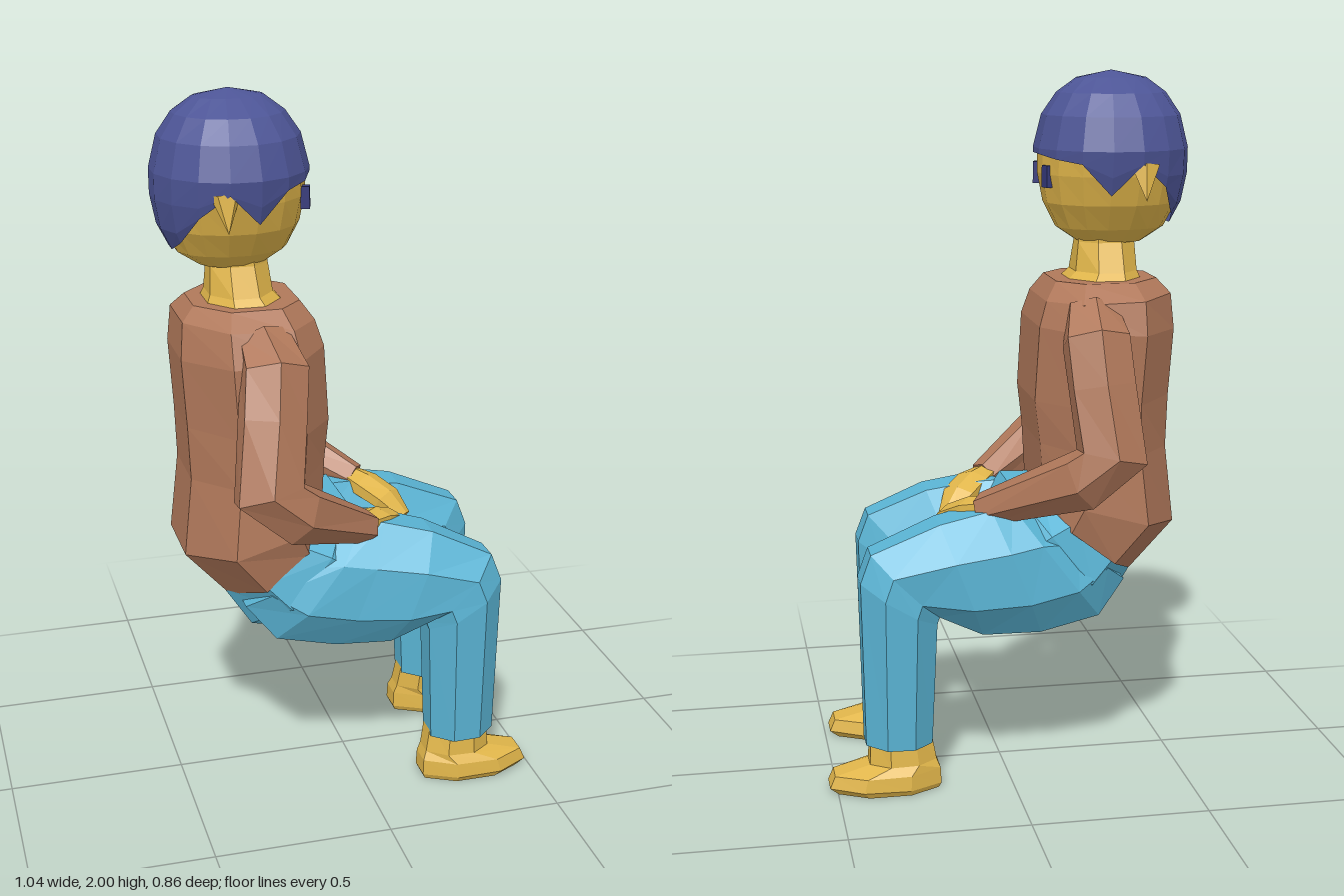
import * as THREE from 'three';

const mat = (color, side = THREE.FrontSide) => new THREE.MeshStandardMaterial({ color, flatShading: true, side });
const skin = mat(0xe0b54a), sweater = mat(0xb0785a), denim = mat(0x5ab4d4);
const hairMat = mat(0x4d5596, THREE.DoubleSide), eyeMat = mat(0x35397a);

function add(parent, name, geometry, material) {
  const mesh = new THREE.Mesh(geometry, material);
  mesh.name = name;
  parent.add(mesh);
  return mesh;
}

function build(pos, idx) {
  const g = new THREE.BufferGeometry();
  g.setAttribute('position', new THREE.Float32BufferAttribute(pos, 3));
  g.setIndex(idx);
  g.computeVertexNormals();
  return g;
}

// Capped skin over rings { c, u, v }; u x v points along the travel direction.
// A frontPower below 1 makes the +u half of the cross-section boxier.
function loft(rings, sides = 8, frontPower = 1) {
  const pos = [], idx = [];
  const k = 1 / Math.cos(Math.PI / sides);
  for (const { c, u, v } of rings) {
    for (let i = 0; i < sides; i++) {
      const a = ((i + 0.5) / sides) * Math.PI * 2;
      const power = Math.cos(a) > 0 ? frontPower : 1;
      const [su, sv] = [Math.cos(a) * k, Math.sin(a) * k].map((w) => Math.sign(w) * Math.abs(w) ** power);
      const p = c.clone().addScaledVector(u, su).addScaledVector(v, sv);
      pos.push(p.x, p.y, p.z);
    }
  }
  const last = rings.length - 1, start = rings.length * sides;
  pos.push(...rings[0].c.toArray(), ...rings[last].c.toArray());
  for (let i = 0; i < sides; i++) {
    const j = (i + 1) % sides;
    for (let r = 0; r < last; r++) {
      const a = r * sides + i, b = r * sides + j;
      idx.push(a, b, a + sides, b, b + sides, a + sides);
    }
    idx.push(start, j, i, start + 1, last * sides + i, last * sides + j);
  }
  return build(pos, idx);
}

// Ring from its front/top point, its back/bottom point and its z range
const span = ([x1, y1, x2, y2, z1, z2]) => ({
  c: new THREE.Vector3((x1 + x2) / 2, (y1 + y2) / 2, (z1 + z2) / 2),
  u: new THREE.Vector3((x1 - x2) / 2, (y1 - y2) / 2, 0),
  v: new THREE.Vector3(0, 0, (z2 - z1) / 2),
});

// Rings along a path of [x, y, z, depth radius, side radius]
function limb(path, ref = new THREE.Vector3(0, 0, 1)) {
  const pts = path.map((p) => new THREE.Vector3(p[0], p[1], p[2]));
  return pts.map((c, i) => {
    const t = pts[Math.min(i + 1, pts.length - 1)].clone().sub(pts[Math.max(i - 1, 0)]).normalize();
    const u = ref.clone().cross(t).normalize();
    const v = t.clone().cross(u);
    return { c, u: u.multiplyScalar(path[i][3]), v: v.multiplyScalar(path[i][4]) };
  });
}

// Half sizes of the head: [y, x radius, z radius]
const headProfile = [
  [1.53, 0.09, 0.07], [1.57, 0.15, 0.115], [1.64, 0.185, 0.163], [1.72, 0.2, 0.19],
  [1.79, 0.2, 0.202], [1.88, 0.178, 0.176], [1.94, 0.138, 0.128], [1.98, 0.085, 0.052], [2.0, 0, 0],
];
function headRadius(y) {
  let i = 0;
  while (i < headProfile.length - 2 && headProfile[i + 1][0] < y) i++;
  const [a, b] = [headProfile[i], headProfile[i + 1]];
  const t = (y - a[0]) / (b[0] - a[0]);
  return [1, 2].map((n) => THREE.MathUtils.lerp(a[n], b[n], t));
}

function buildHead() {
  const head = new THREE.Group();
  head.name = 'head';
  const cx = -0.31, cz = -0.02, seg = 16;

  const faceRings = [1.88, 1.79, 1.72, 1.64, 1.57, 1.53].map((y) => {
    const [rx, rz] = headRadius(y);
    return span([cx + rx, y, cx - rx, y, cz - rz, cz + rz]);
  });
  add(head, 'face', loft(faceRings, seg), skin);

  // Hair cap: hairline heights from the forehead, past sideburn and ear, to the nape
  const line = [1.775, 1.765, 1.755, 1.67, 1.755, 1.69, 1.61, 1.58];
  const levels = [1.5, 1.64, 1.72, 1.79, 1.88, 1.94, 1.98, 2];
  const k = 1 / Math.cos(Math.PI / seg);
  const pos = [], idx = [];
  levels.forEach((level, r) => {
    for (let i = 0; i < seg; i++) {
      const a = ((i + 0.5) / seg) * Math.PI * 2;
      const y = Math.max(level, line[Math.min(i, seg - 1 - i)]);
      const [rx, rz] = headRadius(y);
      const puff = y < 2 ? 0.011 : 0;
      pos.push(cx + Math.cos(a) * k * (rx + puff), y, cz + Math.sin(a) * k * (rz + puff * 1.4));
      if (r === levels.length - 1) continue;
      const p = r * seg + i, q = r * seg + (i + 1) % seg;
      idx.push(p, p + seg, q, q, p + seg, q + seg);
    }
  });
  add(head, 'hair', build(pos, idx), hairMat);

  for (const s of [-1, 1]) {
    const label = s < 0 ? 'left' : 'right';
    const eye = add(head, label + 'Eye', new THREE.BoxGeometry(0.025, 0.06, 0.03), eyeMat);
    eye.position.set(-0.123, 1.715, s * 0.073 - 0.003);
    eye.rotation.y = -s * 0.3;
    const ear = add(head, label + 'Ear', new THREE.ConeGeometry(0.042, 0.1, 5), skin);
    ear.scale.z = 0.5;
    ear.rotation.x = Math.PI - s * 0.3;
    ear.position.set(-0.36, 1.705, cz + s * 0.205);
  }
  return head;
}

function buildLeg(label, s, dx, dz) {
  const leg = new THREE.Group();
  leg.name = label + 'Leg';
  // Inner and outer z distances, mirrored by side; the knee and shin shift by dx, dz
  const ring = ([x1, y1, x2, y2, zi, zo], shift) => {
    const z = [s * zi, s * zo].sort((a, b) => a - b);
    return span([x1 + dx * shift, y1, x2 + dx * shift, y2, z[0] + dz * shift, z[1] + dz * shift]);
  };
  const trousers = [
    [[-0.12, 0.76, -0.33, 0.58, 0.02, 0.235], 0],
    [[0.0, 0.815, -0.25, 0.485, 0.02, 0.28], 0],
    [[0.06, 0.81, -0.08, 0.45, 0.03, 0.295], 0],
    [[0.2, 0.78, 0.08, 0.455, 0.06, 0.31], 0.4],
    [[0.38, 0.7, 0.19, 0.51, 0.1, 0.3], 1],
    [[0.41, 0.62, 0.197, 0.49, 0.1, 0.305], 1],
    [[0.4, 0.14, 0.212, 0.135, 0.108, 0.285], 1],
  ].map(([r, k]) => ring(r, k));
  add(leg, label + 'TrouserLeg', loft(trousers), denim);

  const shoe = [
    [0.385, 0.17, 0.215, 0.17, 0.125, 0.26],
    [0.39, 0.08, 0.2, 0.085, 0.13, 0.27],
    [0.49, 0.055, 0.19, 0.06, 0.125, 0.285],
    [0.505, 0.02, 0.188, 0.015, 0.12, 0.29],
    [0.48, 0.0, 0.195, 0.0, 0.13, 0.28],
  ].map((r) => ring(r, 1));
  add(leg, label + 'Foot', loft(shoe), skin);
  return leg;
}

function buildArm(label, sleeve, hand) {
  const arm = new THREE.Group();
  arm.name = label + 'Arm';
  add(arm, label + 'Sleeve', loft(limb(sleeve), 6), sweater);
  add(arm, label + 'Hand', loft(limb(hand, new THREE.Vector3(0, 1, 0)), 6), skin);
  return arm;
}

export function createModel() {
  const figure = new THREE.Group();
  figure.name = 'seatedFigure';
  figure.add(buildHead());

  // Neck flaring into the collar
  add(figure, 'neck', loft([
    [-0.22, 1.6, -0.375, 1.6, -0.09, 0.05],
    [-0.215, 1.53, -0.375, 1.53, -0.095, 0.055],
    [-0.205, 1.45, -0.38, 1.45, -0.13, 0.09],
    [-0.18, 1.425, -0.39, 1.425, -0.15, 0.11],
  ].map(span)), skin);

  // Sweater body: flat front, rounded back, hem tilted down towards the back
  add(figure, 'torso', loft([
    [-0.14, 1.43, -0.43, 1.43, -0.185, 0.14],
    [-0.105, 1.38, -0.465, 1.39, -0.25, 0.195],
    [-0.085, 1.31, -0.475, 1.29, -0.27, 0.23],
    [-0.075, 1.1, -0.465, 1.1, -0.255, 0.235],
    [-0.09, 0.98, -0.46, 0.95, -0.26, 0.245],
    [-0.1, 0.84, -0.485, 0.73, -0.275, 0.265],
    [-0.1, 0.79, -0.36, 0.59, -0.25, 0.24],
  ].map(span), 8, 0.7), sweater);

  // Seat and lap of the trousers
  add(figure, 'hips', loft([
    [-0.1, 0.84, -0.37, 0.6, -0.235, 0.235],
    [-0.02, 0.84, -0.3, 0.495, -0.26, 0.26],
    [0.02, 0.78, -0.15, 0.455, -0.24, 0.24],
    [0.01, 0.65, -0.02, 0.46, -0.16, 0.16],
  ].map(span)), denim);
  figure.add(buildLeg('left', -1, 0.018, 0.025), buildLeg('right', 1, -0.018, 0.03));

  figure.add(buildArm('left', [
    [-0.22, 1.36, -0.2, 0.065, 0.05],
    [-0.215, 1.29, -0.28, 0.085, 0.07],
    [-0.225, 1.17, -0.315, 0.085, 0.065],
    [-0.245, 0.985, -0.355, 0.09, 0.07],
    [-0.17, 0.92, -0.34, 0.075, 0.065],
    [0.075, 0.8, -0.155, 0.04, 0.045],
  ], [
    [0.06, 0.81, -0.165, 0.035, 0.025],
    [0.1, 0.795, -0.115, 0.05, 0.028],
    [0.15, 0.765, -0.06, 0.05, 0.025],
    [0.19, 0.72, -0.015, 0.025, 0.015],
  ]));
  figure.add(buildArm('right', [
    [-0.265, 1.36, 0.16, 0.065, 0.05],
    [-0.255, 1.29, 0.245, 0.085, 0.07],
    [-0.275, 1.17, 0.295, 0.085, 0.065],
    [-0.3, 0.985, 0.35, 0.09, 0.07],
    [-0.22, 0.92, 0.345, 0.075, 0.065],
    [0.01, 0.8, 0.205, 0.04, 0.045],
  ], [
    [0.0, 0.81, 0.21, 0.035, 0.025],
    [0.05, 0.8, 0.155, 0.05, 0.028],
    [0.1, 0.775, 0.1, 0.05, 0.025],
    [0.145, 0.73, 0.055, 0.025, 0.015],
  ]));
  return figure;
}
